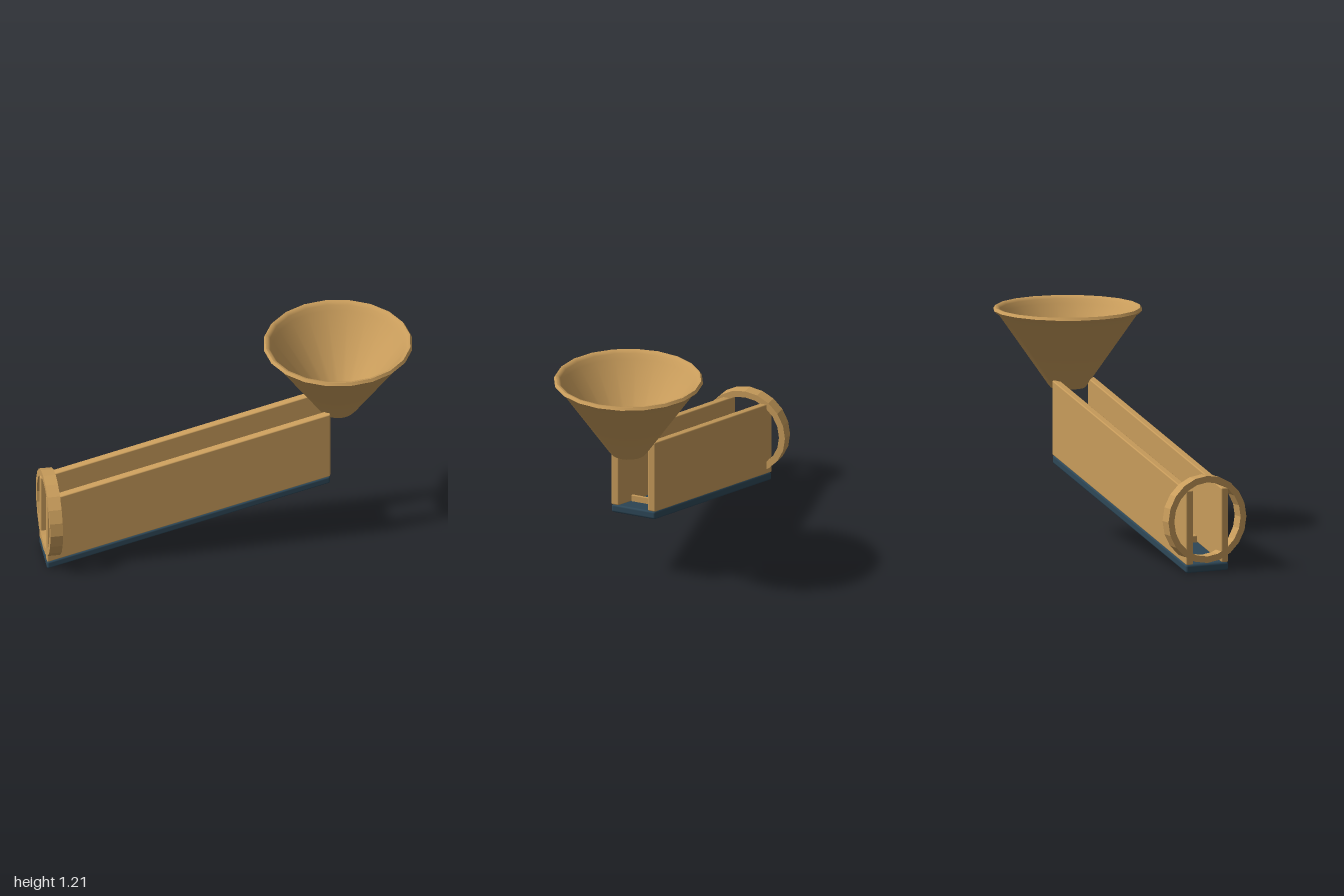
import * as THREE from 'three';
import { toCreasedNormals } from 'three/addons/utils/BufferGeometryUtils.js';
import { RoundedBoxGeometry } from 'three/addons/geometries/RoundedBoxGeometry.js';

const SLOPE = 0.25; // rise of the chute per unit of x
const MID_X = -0.234, LENGTH = 1.532, FLOOR_TOP = 0.237;

export function createModel() {
  const model = new THREE.Group();
  model.name = 'funnelChute';

  const wood = new THREE.MeshStandardMaterial({ color: 0xc89c5b });
  wood.name = 'warm tan';
  const slate = new THREE.MeshStandardMaterial({ color: 0x2e4858 });
  slate.name = 'dark slate blue';

  const add = (name, geometry, material, x, y, z) => {
    const mesh = new THREE.Mesh(geometry, material);
    mesh.name = name;
    mesh.position.set(x, y, z);
    model.add(mesh);
  };

  // Box with soft edges, slanted so that its ends stay vertical
  const slanted = (w, h, d, r) => new RoundedBoxGeometry(w, h, d, 2, r).applyMatrix4(
    new THREE.Matrix4().set(1, 0, 0, 0, SLOPE, 1, 0, 0, 0, 0, 1, 0, 0, 0, 0, 1));

  // Chute floor and its two side walls
  add('chuteFloor', slanted(LENGTH, 0.046, 0.256, 0.012), slate, MID_X, FLOOR_TOP - 0.023, 0);
  for (const side of [-1, 1]) {
    add(side > 0 ? 'frontWall' : 'backWall', slanted(LENGTH, 0.402, 0.043, 0.007), wood,
      MID_X, FLOOR_TOP + 0.2, side * 0.1065);
  }

  // Low cross slats on the floor
  for (let i = 0; i < 4; i++) {
    const x = -0.71 + i * 0.355;
    add('crossSlat' + (i + 1), slanted(0.024, 0.04, 0.172, 0.004), wood,
      x, FLOOR_TOP + (x - MID_X) * SLOPE + 0.016, 0);
  }

  // Faceted ring around the low end
  const ringProfile = [[0.2, -0.034], [0.235, -0.034], [0.235, 0.034], [0.2, 0.034], [0.2, -0.034]]
    .map(([r, y]) => new THREE.Vector2(r, y));
  const ring = toCreasedNormals(new THREE.LatheGeometry(ringProfile, 20), 0.1).rotateZ(Math.PI / 2);
  add('endRing', ring, wood, -0.966, 0.284, 0);

  // Hollow funnel with a turned rim, open at the bottom
  const funnelProfile = [
    [0.072, 0.776], [0.092, 0.775], [0.105, 0.79], [0.37, 1.17], [0.385, 1.18], [0.4, 1.195],
    [0.39, 1.21], [0.377, 1.208], [0.365, 1.195], [0.35, 1.17], [0.086, 0.8], [0.072, 0.785], [0.072, 0.776],
  ].map(([r, y]) => new THREE.Vector2(r, y));
  add('funnel', toCreasedNormals(new THREE.LatheGeometry(funnelProfile, 20), 0.9), wood, 0.594, 0, 0);

  return model;
}
